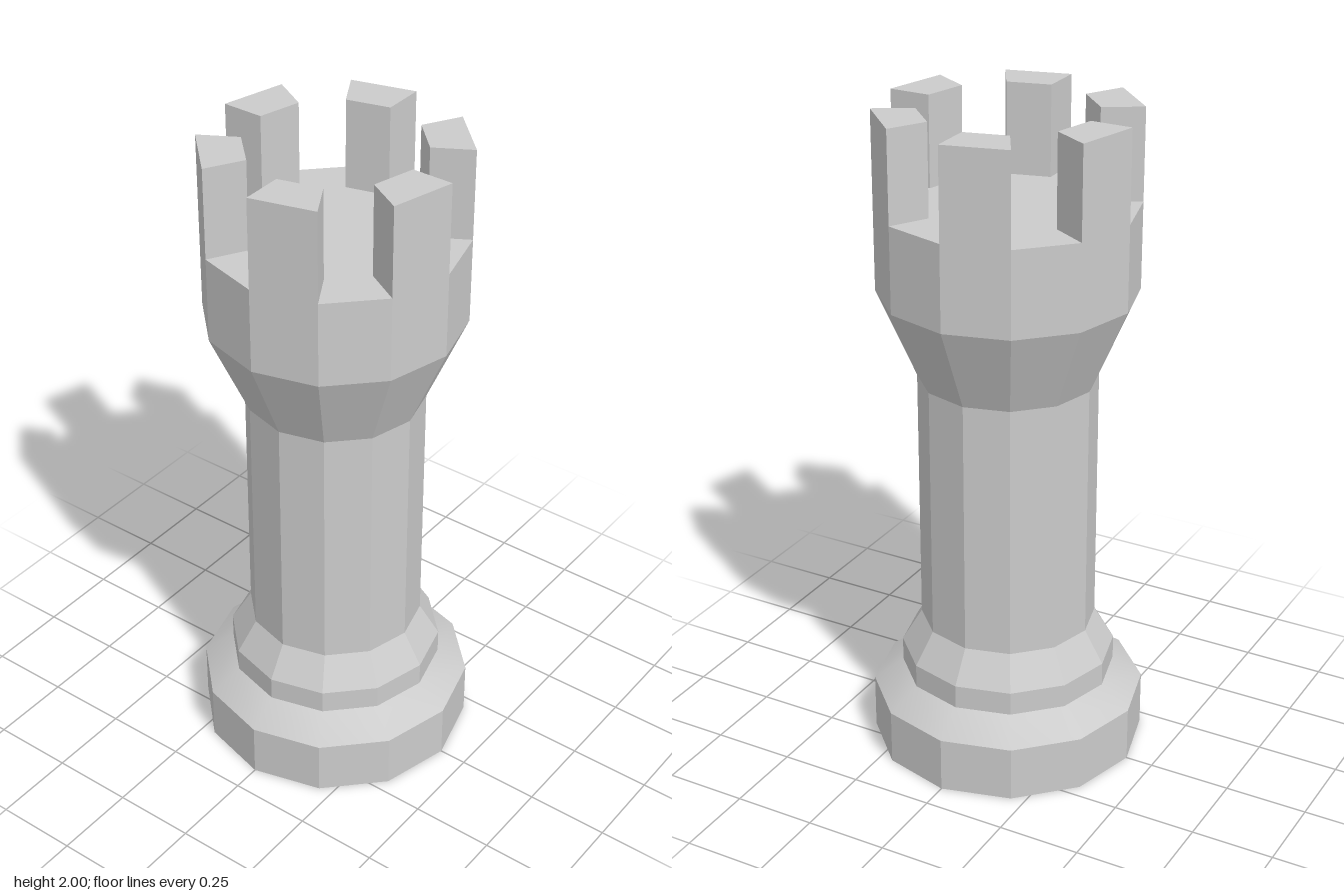
import * as THREE from 'three';
import { toCreasedNormals } from 'three/addons/utils/BufferGeometryUtils.js';

const SIDES = 12;
const FLOOR = 1.725;
const TOP = 2;
const material = new THREE.MeshStandardMaterial({ color: 0xcccccc });

function addMesh(parent, name, geometry) {
  // Facets stay sharp, only the shallow bevel of the base blends smoothly
  const mesh = new THREE.Mesh(toCreasedNormals(geometry, THREE.MathUtils.degToRad(20)), material);
  mesh.name = name;
  parent.add(mesh);
  return mesh;
}

function ring(profile) {
  return new THREE.LatheGeometry(profile.map(([r, y]) => new THREE.Vector2(r, y)), SIDES);
}

export function createModel() {
  const rook = new THREE.Group();
  rook.name = 'rook';

  // Turned body, from the foot up to the crown
  addMesh(rook, 'base', ring([[0.415, 0], [0.415, 0.17], [0.325, 0.237]]));
  addMesh(rook, 'collar', ring([[0.325, 0.237], [0.325, 0.31], [0.265, 0.41]]));
  addMesh(rook, 'shaft', ring([[0.265, 0.41], [0.265, 1.2]]));
  addMesh(rook, 'crown', ring([[0.265, 1.2], [0.38, 1.465], [0.38, FLOOR]]));

  // Flat ends
  addMesh(rook, 'underside', new THREE.CircleGeometry(0.415, SIDES).rotateX(Math.PI / 2));
  addMesh(rook, 'crownFloor', new THREE.CircleGeometry(0.38, SIDES).rotateX(-Math.PI / 2).translate(0, FLOOR, 0));

  // Battlements: one facet wide, on every second facet of the crown
  const step = (Math.PI * 2) / SIDES;
  const corner = (r, a) => new THREE.Vector2(r * Math.cos(a), r * Math.sin(a));
  const section = new THREE.Shape([corner(0.255, 0), corner(0.38, 0), corner(0.38, step), corner(0.255, step)]);
  const battlements = new THREE.Group();
  battlements.name = 'battlements';
  for (let i = 0; i < SIDES / 2; i++) {
    const block = new THREE.ExtrudeGeometry(section, { depth: TOP - FLOOR, bevelEnabled: false });
    block.rotateX(Math.PI / 2).translate(0, TOP, 0);
    addMesh(battlements, 'battlement', block).rotation.y = -2 * i * step;
  }
  rook.add(battlements);
  return rook;
}
